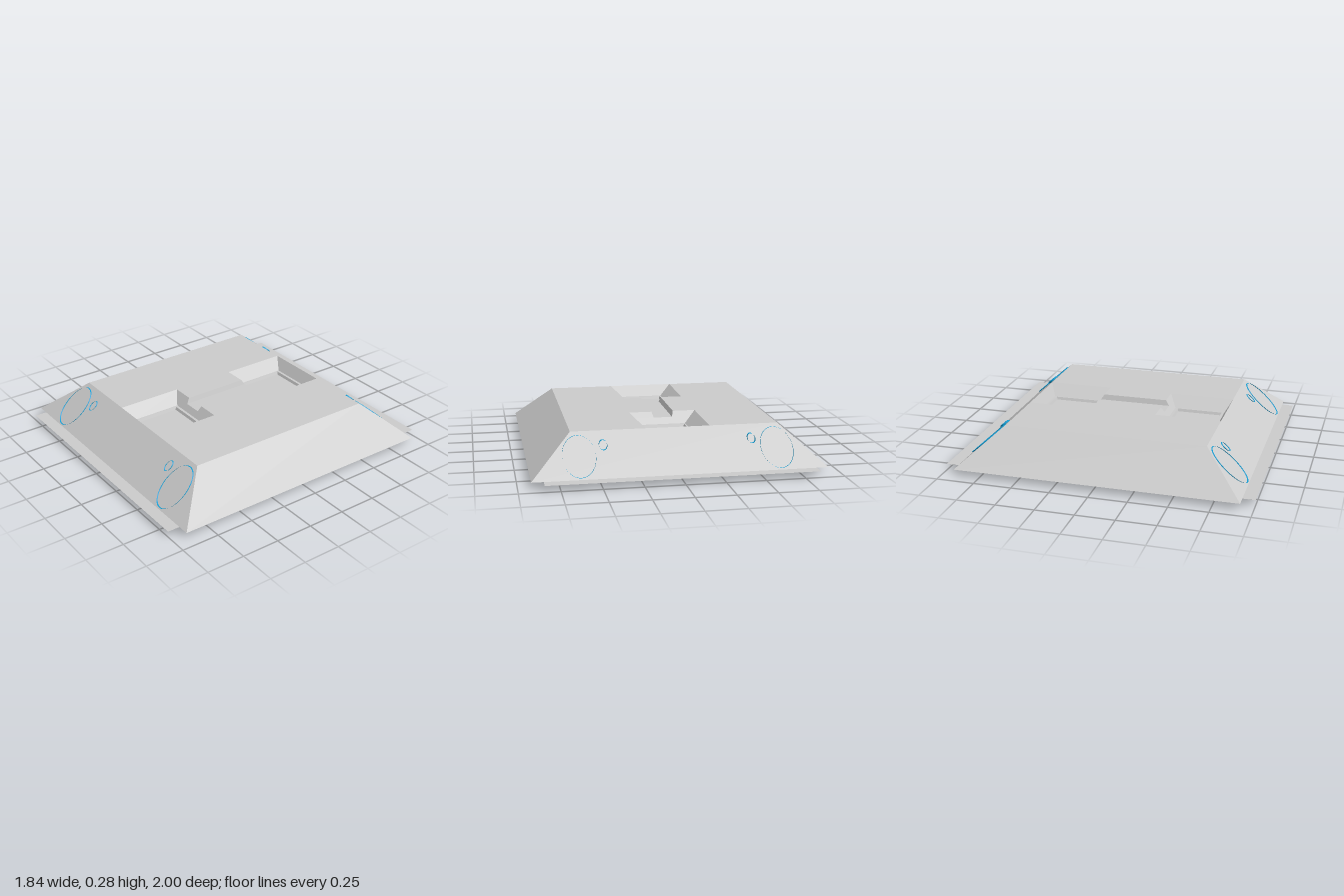
import * as THREE from 'three';

const grey = new THREE.MeshStandardMaterial({ color: 0xcccccc, side: THREE.DoubleSide });
const blue = new THREE.MeshStandardMaterial({ color: 0x0f9bd2, side: THREE.DoubleSide });

const BASE = 0.04, TOP = 0.275;            // heights of the shell
const OUT = 0.92, IN = 0.66;               // half widths at base and top
const PX = 0.22, PZ0 = 0.22, PZ1 = 0.66;   // pocket opening
const LX = 0.145, LZ0 = 0.27, LZ1 = 0.615, LEDGE = 0.2;
const CX = 0.072, FX = 0.062, FLOOR = 0.24; // channel half widths and floor
// z of the shell's sloped end at height y
const slopeZ = (y) => OUT - (y - BASE) * (OUT - IN) / (TOP - BASE);
// z of the pocket's inner wall at height y
const wallZ = (y) => PZ0 + (TOP - y) * (LZ0 - PZ0) / (TOP - LEDGE);
// half width of the pocket's inner wall at height y
const wallX = (y) => PX + (TOP - y) * (LX - PX) / (TOP - LEDGE);

// Mesh made of flat quads, each given by four corners (anticlockwise from its front)
function sheet(name, quads) {
  const pos = [];
  for (const [a, b, c, d] of quads) pos.push(...a, ...b, ...c, ...a, ...c, ...d);
  const g = new THREE.BufferGeometry();
  g.setAttribute('position', new THREE.Float32BufferAttribute(pos, 3));
  g.computeVertexNormals();
  const mesh = new THREE.Mesh(g, grey);
  mesh.name = name;
  return mesh;
}

// Level rectangle, anticlockwise from above
const rect = (x0, x1, z0, z1, y) => [[x0, y, z1], [x1, y, z1], [x1, y, z0], [x0, y, z0]];
// Four walls from a lower rectangle to an upper one
const walls = (lo, hi) => lo.map((p, i) => {
  const j = (i + 1) % 4;
  return [p, lo[j], hi[j], hi[i]];
});
const flip = (quads) => quads.map((q) => [...q].reverse());

// Sunken pocket with a ledge, a shallow recess and a floor panel
function pocket() {
  const opening = rect(-PX, PX, PZ0, PZ1, TOP);
  const ledge = rect(-LX, LX, LZ0, LZ1, LEDGE);
  const lip = rect(-0.135, 0.135, LZ0 + 0.018, LZ1 - 0.018, LEDGE);
  const panel = rect(-0.128, 0.128, LZ0 + 0.025, LZ1 - 0.025, LEDGE - 0.018);
  const sides = walls(ledge, opening).filter((_, i) => i !== 2);
  // Inner wall, notched where the channel enters
  const zf = wallZ(FLOOR), xf = wallX(FLOOR);
  const inner = [[[-xf, FLOOR, zf], [xf, FLOOR, zf], [LX, LEDGE, LZ0], [-LX, LEDGE, LZ0]]];
  for (const s of [-1, 1]) {
    const q = [[s * FX, FLOOR, zf], [s * CX, TOP, PZ0], [s * PX, TOP, PZ0], [s * xf, FLOOR, zf]];
    inner.push(s > 0 ? q : q.reverse());
  }
  const g = new THREE.Group();
  g.add(
    sheet('pocketWalls', [...flip(sides), ...inner]),
    sheet('pocketLedge', flip(walls(ledge, lip)).map((q) => [...q].reverse())),
    sheet('pocketRecess', flip(walls(panel, lip))),
    sheet('pocketFloor', [panel]),
  );
  return g;
}

// Open pipe along z whose ends follow the sloped faces
function pipe(name, x, y, r, front, back) {
  const g = new THREE.CylinderGeometry(r, r, 2, 40, 1, true).rotateX(Math.PI / 2);
  const p = g.attributes.position;
  for (let i = 0; i < p.count; i++) {
    const z = slopeZ(p.getY(i) + y);
    p.setZ(i, p.getZ(i) > 0 ? z + front : -z - back);
  }
  const mesh = new THREE.Mesh(g, blue);
  mesh.name = name;
  mesh.position.set(x, y, 0);
  return mesh;
}

export function createModel() {
  const model = new THREE.Group();
  model.name = 'panelHousing';

  // Sloped shell, open below
  model.add(sheet('slopedSides', walls(rect(-OUT, OUT, -OUT, OUT, BASE), rect(-IN, IN, -IN, IN, TOP))));

  // Top surface around the pockets and channel
  const top = [];
  for (const s of [-1, 1]) {
    const span = (a, b) => (s > 0 ? [a, b] : [-b, -a]);
    top.push(rect(...span(PX, IN), -IN, IN, TOP), rect(...span(CX, PX), -PZ0, PZ0, TOP));
  }
  model.add(sheet('topSurface', top));

  // Pockets at front and back
  for (const [name, turn] of [['frontPocket', 0], ['backPocket', Math.PI]]) {
    const p = pocket();
    p.name = name;
    p.rotation.y = turn;
    model.add(p);
  }

  // Channel joining the pockets
  const zf = wallZ(FLOOR);
  const channel = [rect(-FX, FX, -zf, zf, FLOOR)];
  for (const s of [-1, 1]) {
    const q = [[s * FX, FLOOR, -zf], [s * FX, FLOOR, zf], [s * CX, TOP, PZ0], [s * CX, TOP, -PZ0]];
    channel.push(s > 0 ? q : q.reverse());
  }
  model.add(sheet('channel', channel));

  // Thin flaps along the front and back base edges
  model.add(sheet('frontFlap', [rect(-0.845, 0.845, OUT, 1, BASE)]));
  model.add(sheet('backFlap', [rect(-0.845, 0.845, -1, -OUT, BASE)]));

  // Large and small pipes on each side
  for (const [side, s] of [['left', 1], ['right', -1]]) {
    model.add(pipe(side + 'LargePipe', s * 0.62, 0.153, 0.103, 0.008, 0.008));
    model.add(pipe(side + 'SmallPipe', s * 0.467, 0.205, 0.025, 0.008, 0.02));
  }

  // Block under the right pipe
  const block = new THREE.Mesh(new THREE.BoxGeometry(0.093, 0.06, 0.195), blue);
  block.name = 'underBlock';
  block.position.set(-0.62, 0.03, 0.55);
  model.add(block);

  return model;
}
